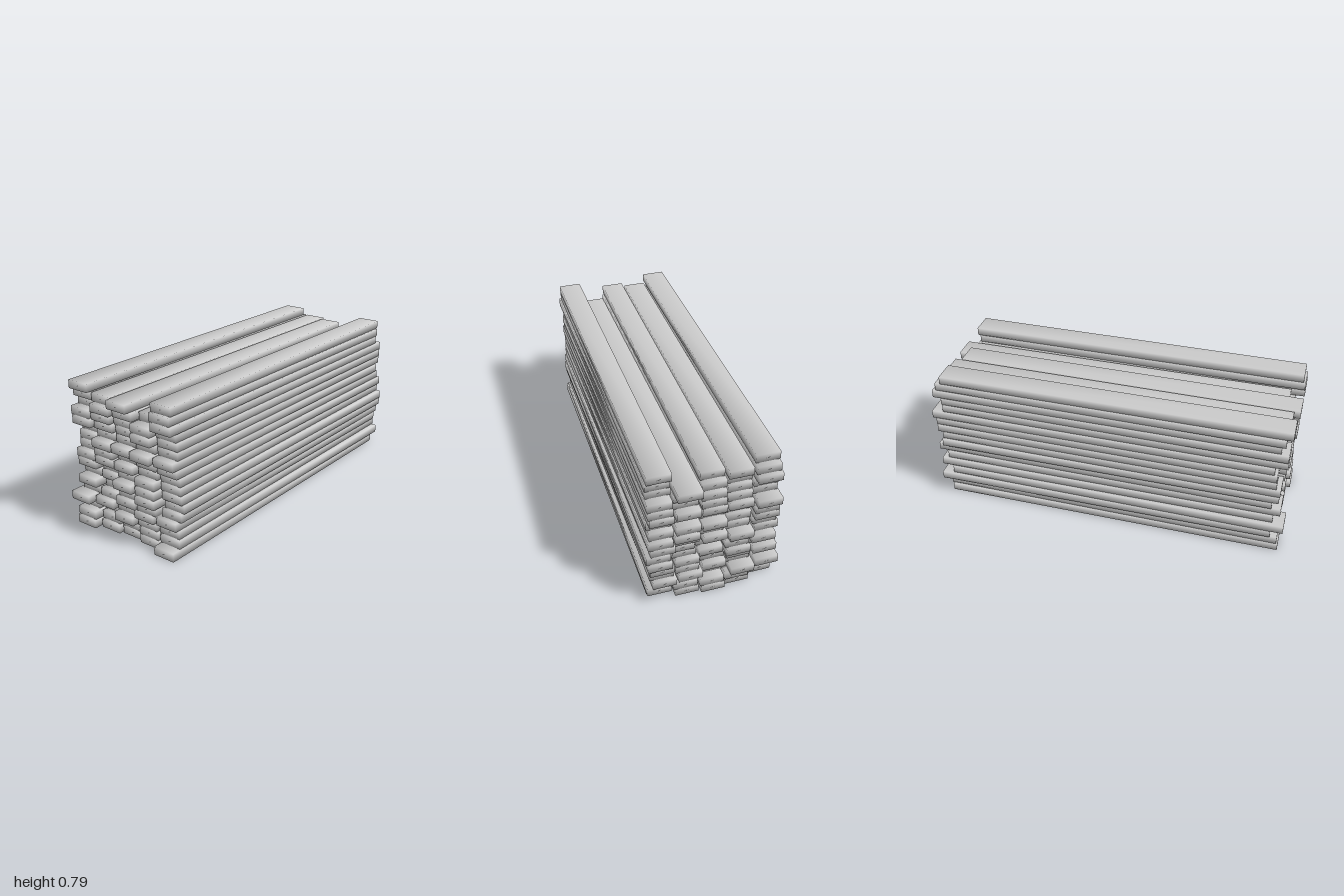
import * as THREE from 'three';
import { mergeVertices } from 'three/addons/utils/BufferGeometryUtils.js';

const LENGTH = 1.91, THICK = 0.0445, WIDTH = 0.125, PITCH = 0.0467;
const COLUMNS = [0.278, 0.139, 0.005, -0.129, -0.268];

// sideways drift of each layer at its +x and -x end, bottom layer first
const DRIFT = [
  [0, 0], [0.008, -0.004], [-0.018, -0.01], [-0.005, -0.015], [-0.003, 0.005],
  [0.01, 0.014], [0.017, 0.007], [-0.006, 0.002], [0.007, 0.001], [0, 0],
  [0.006, 0], [0, 0.001], [0.004, 0.002], [0.006, -0.004], [0.001, 0.005],
  [0.006, -0.004], [0.001, 0],
];

// known lengthwise shifts of the exposed top planks, keyed by layer-column
const SHIFT = { '16-0': -0.025, '16-4': -0.03, '15-2': -0.04, '15-3': -0.005, '14-1': 0.035, '3-4': -0.045, '2-3': 0.045 };

function seeded(seed) {
  return () => {
    seed = (seed * 16807) % 2147483647;
    return seed / 2147483647;
  };
}

// box with shared corners, so the shading rolls softly over the edges
function plankGeometry() {
  const box = new THREE.BoxGeometry(LENGTH, THICK, WIDTH);
  box.deleteAttribute('uv');
  box.deleteAttribute('normal');
  const g = mergeVertices(box);
  g.computeVertexNormals();
  return g;
}

// the top two layers are only partly filled
function isMissing(layer, column) {
  if (layer === 16) return column > 0 && column < 4;
  return layer === 15 && column === 1;
}

export function createModel() {
  const model = new THREE.Group();
  model.name = 'plankStack';
  const geometry = plankGeometry();
  const material = new THREE.MeshStandardMaterial({ color: 0xcccccc });
  const random = seeded(4711);

  DRIFT.forEach(([near, far], layer) => {
    const row = new THREE.Group();
    row.name = `layer${layer + 1}`;
    COLUMNS.forEach((z, column) => {
      const slide = (random() - 0.5) * 0.08;
      const wobble = (random() - 0.5) * 0.004;
      if (isMissing(layer, column)) return;
      const plank = new THREE.Mesh(geometry, material);
      plank.name = 'plank';
      plank.position.set(
        SHIFT[`${layer}-${column}`] ?? slide,
        THICK / 2 + layer * PITCH,
        z + (near + far) / 2 + wobble
      );
      plank.rotation.y = -(near - far) / LENGTH;
      row.add(plank);
    });
    model.add(row);
  });
  return model;
}
